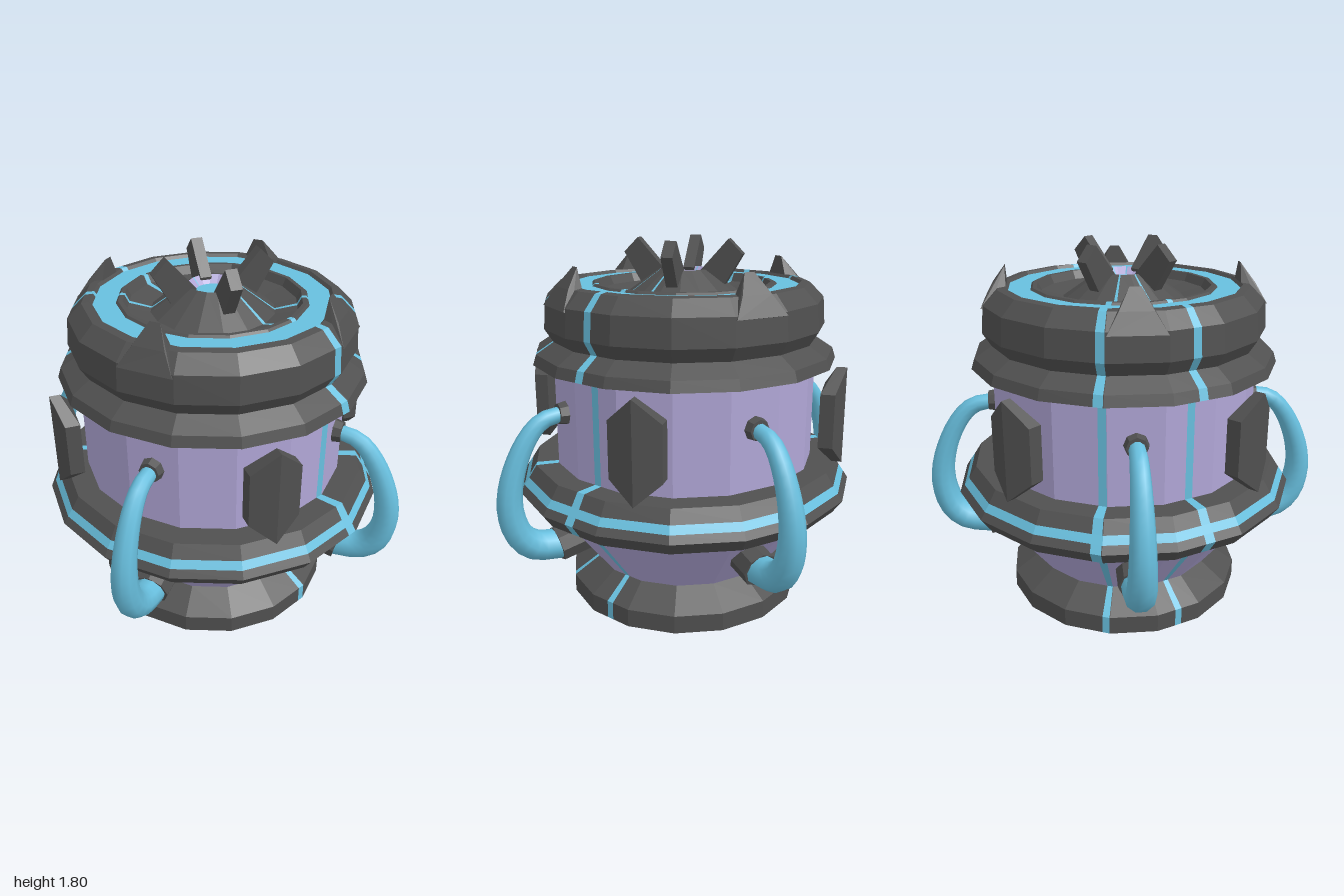
import * as THREE from 'three';
import { ConvexGeometry } from 'three/addons/geometries/ConvexGeometry.js';

const SIDES = 16;
const STEP = (Math.PI * 2) / SIDES;
const mats = {};
for (const [name, color] of [['dark', 0x505050], ['purple', 0xb0a6d6], ['cyan', 0x68bfde]]) {
  mats[name] = new THREE.MeshStandardMaterial({ color, flatShading: true });
}
const smoothCyan = new THREE.MeshStandardMaterial({ color: 0x68bfde });

// Body profile: half-width, height, colour of the band leading to the next point
const PROFILE = [
  [0, 0, 'dark'], [0.585, 0, 'dark'], [0.585, 0.09, 'dark'], [0.455, 0.18, 'purple'],
  [0.69, 0.49, 'dark'], [0.79, 0.525, 'dark'], [0.835, 0.59, 'dark'], [0.812, 0.625, 'cyan'],
  [0.788, 0.66, 'dark'], [0.75, 0.72, 'dark'], [0.64, 0.72, 'purple'],
  [0.64, 1.22, 'dark'], [0.738, 1.225, 'dark'], [0.722, 1.275, 'dark'], [0.638, 1.33, 'dark'],
  [0.678, 1.395, 'dark'], [0.668, 1.525, 'dark'], [0.6, 1.595, 'dark'], [0.562, 1.6, 'dark'],
  [0.55, 1.585, 'cyan'], [0.445, 1.585, 'dark'], [0.435, 1.595, 'dark'], [0.415, 1.595, 'dark'],
  [0.395, 1.555, 'dark'], [0.29, 1.53, 'dark'], [0.115, 1.655, 'purple'],
  [0.08, 1.62, 'cyan'], [0, 1.62, 'cyan'],
];

// Glowing seams: angular ranges in degrees, measured from +x toward +z
const SEAMS = [[11.5, 14.9], [-24.2, -20.8], [191.5, 194.9], [155.8, 159.2]]
  .map((s) => s.map((d) => (THREE.MathUtils.degToRad(d) + Math.PI * 2) % (Math.PI * 2)));

// Sixteen-sided body, split by colour, with the seams cut into its facets
function buildBody(group) {
  const angles = SEAMS.flat();
  for (let i = 0; i < SIDES; i++) angles.push((i + 0.5) * STEP);
  angles.sort((a, b) => a - b);
  const point = (p, t) => {
    const r = p[0] / Math.cos(t - Math.round(t / STEP) * STEP);
    return [r * Math.cos(t), p[1], r * Math.sin(t)];
  };
  const verts = { dark: [], purple: [], cyan: [] };
  angles.forEach((t0, i) => {
    const t1 = i + 1 < angles.length ? angles[i + 1] : angles[0] + Math.PI * 2;
    const mid = (t0 + t1) / 2;
    const seam = SEAMS.some(([s, e]) => mid > s && mid < e);
    for (let j = 0; j + 1 < PROFILE.length; j++) {
      const p = PROFILE[j], q = PROFILE[j + 1];
      const under = j === 0;
      const out = verts[seam && !under ? 'cyan' : p[2]];
      const a = point(p, t0), b = point(p, t1), c = point(q, t1), d = point(q, t0);
      if (q[0] > 0) out.push(...a, ...d, ...c);
      if (p[0] > 0) out.push(...a, ...c, ...b);
    }
  });
  const names = { dark: 'darkBodyBands', purple: 'purpleBodyWalls', cyan: 'glowingSeams' };
  for (const key in verts) {
    const geo = new THREE.BufferGeometry();
    geo.setAttribute('position', new THREE.Float32BufferAttribute(verts[key], 3));
    geo.computeVertexNormals();
    add(group, geo, mats[key], names[key]);
  }
}

function add(group, geo, mat, name) {
  const mesh = new THREE.Mesh(geo, mat);
  mesh.name = name;
  group.add(mesh);
  return mesh;
}

// Convex solid from [radius, height, half-width] points, mirrored sideways
function hull(points) {
  const pts = [];
  for (const [r, y, w] of points) {
    pts.push(new THREE.Vector3(r, y, w));
    if (w) pts.push(new THREE.Vector3(r, y, -w));
  }
  return new ConvexGeometry(pts);
}

// Straight cylinder between two points
function rod(from, to, r0, r1, sides) {
  const a = new THREE.Vector3(...from), b = new THREE.Vector3(...to);
  const dir = b.clone().sub(a);
  const geo = new THREE.CylinderGeometry(r1, r0, dir.length(), sides);
  geo.applyQuaternion(new THREE.Quaternion().setFromUnitVectors(new THREE.Vector3(0, 1, 0), dir.normalize()));
  const m = a.add(b).multiplyScalar(0.5);
  return geo.translate(m.x, m.y, m.z);
}

// Curved pipe that thickens toward its lower end
function pipeGeometry() {
  const path = new THREE.CatmullRomCurve3([
    [0.64, 1.015], [0.76, 0.99], [0.845, 0.9], [0.922, 0.72],
    [0.937, 0.57], [0.9, 0.44], [0.83, 0.375], [0.69, 0.35],
  ].map(([x, y]) => new THREE.Vector3(x, y, 0)));
  const n = 20, sides = 10;
  const geo = new THREE.TubeGeometry(path, n, 1, sides);
  const pos = geo.attributes.position;
  const v = new THREE.Vector3();
  for (let i = 0; i <= n; i++) {
    const c = path.getPointAt(i / n);
    const r = 0.036 + 0.038 * Math.min(1, (i / n) * 1.15);
    for (let k = 0; k <= sides; k++) {
      const id = i * (sides + 1) + k;
      v.fromBufferAttribute(pos, id).sub(c).multiplyScalar(r).add(c);
      pos.setXYZ(id, v.x, v.y, v.z);
    }
  }
  return geo;
}

export function createModel() {
  const model = new THREE.Group();
  model.name = 'canister';
  buildBody(model);

  const pipe = pipeGeometry();
  const upperSocket = rod([0.62, 1.015, 0], [0.68, 1.015, 0], 0.062, 0.05, 8);
  const lowerSocket = rod([0.54, 0.39, 0], [0.715, 0.35, 0], 0.09, 0.088, 8);
  const crownSpike = hull([
    [0.565, 1.69, 0.025], [0.63, 1.6, 0.075], [0.678, 1.51, 0.13],
    [0.64, 1.5, 0.13], [0.56, 1.58, 0.075],
  ]);
  const plate = hull([
    [0.81, 0.73, 0], [0.81, 1.21, 0], [0.76, 0.73, 0], [0.76, 1.21, 0],
    [0.77, 0.835, 0.122], [0.77, 1.1, 0.122], [0.7, 0.835, 0.122], [0.7, 1.1, 0.122],
  ]);
  const prong = hull([
    [0.295, 1.73, 0.028], [0.225, 1.8, 0.028], [0.09, 1.65, 0.028], [0.2, 1.57, 0.028], [0.12, 1.57, 0.028],
  ]);

  for (let k = 0; k < 4; k++) {
    // Pipe with its sockets, and the spike on the lid above it
    const side = new THREE.Group();
    side.name = 'pipeSide';
    side.rotation.y = (k * Math.PI) / 2;
    add(side, pipe, smoothCyan, 'pipe');
    add(side, upperSocket, mats.dark, 'upperSocket');
    add(side, lowerSocket, mats.dark, 'lowerSocket');
    add(side, crownSpike, mats.dark, 'crownSpike');
    model.add(side);

    // Armour plate and lid prong on the diagonals
    const corner = new THREE.Group();
    corner.name = 'diagonalParts';
    corner.rotation.y = ((k + 0.5) * Math.PI) / 2;
    add(corner, plate, mats.dark, 'armourPlate');
    add(corner, prong, mats.dark, 'lidProng');
    model.add(corner);
  }
  return model;
}
